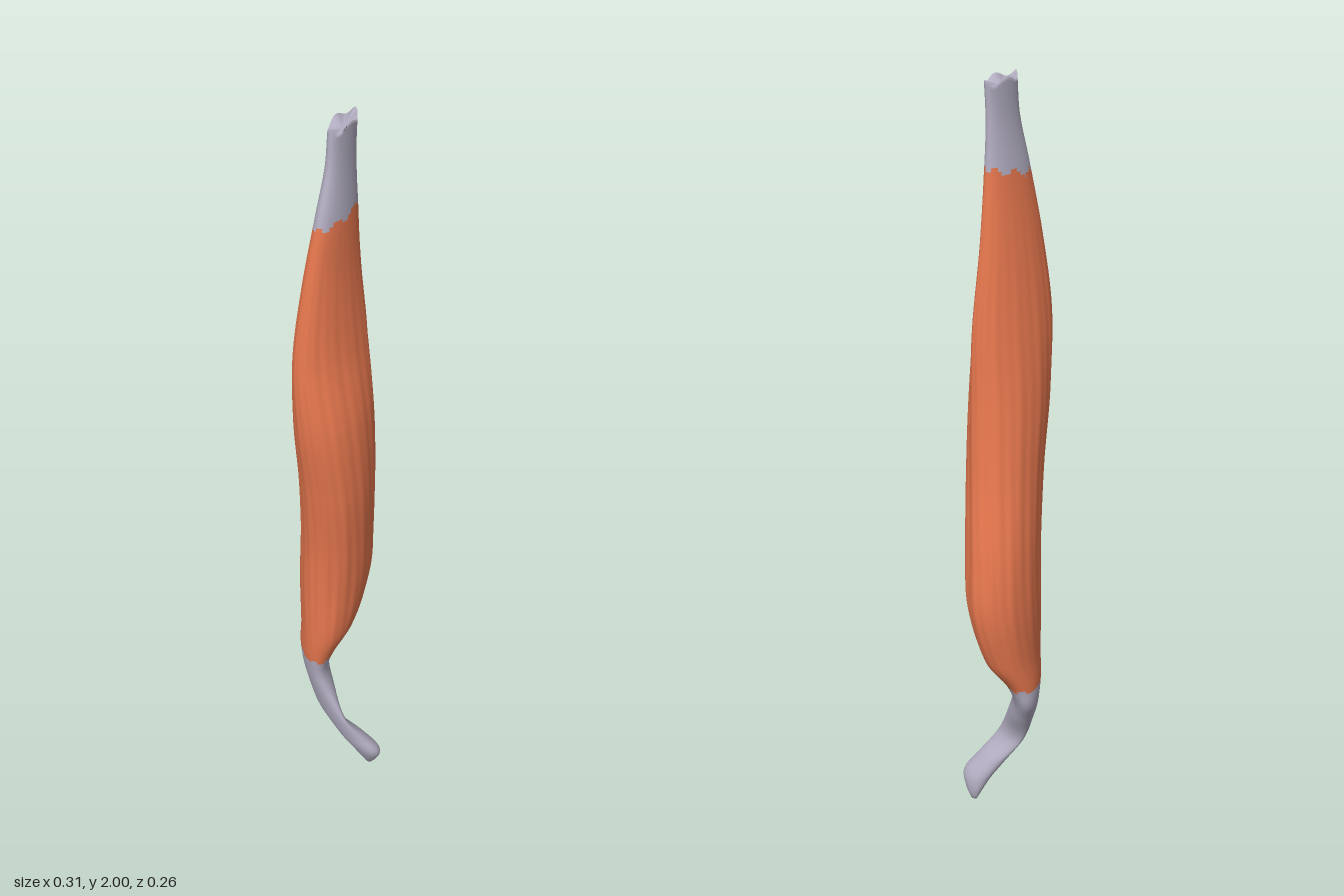
import * as THREE from 'three';

// Cross-sections from bottom to top: y, min x, max x, min z, max z, skew of the oval
const SECTIONS = [
  [0.00, 0.040, 0.053, 0.070, 0.092, 0.0],
  [0.03, 0.022, 0.061, 0.057, 0.114, 0.0],
  [0.07, 0.000, 0.059, 0.042, 0.131, 0.1],
  [0.12, -0.024, 0.030, 0.018, 0.108, 0.1],
  [0.20, -0.049, -0.020, -0.027, 0.070, -0.1],
  [0.30, -0.073, 0.004, -0.082, 0.030, -0.5],
  [0.36, -0.084, 0.025, -0.115, 0.018, -0.65],
  [0.42, -0.093, 0.050, -0.120, 0.032, -0.56],
  [0.50, -0.096, 0.105, -0.122, 0.058, -0.42],
  [0.65, -0.096, 0.147, -0.129, 0.075, -0.33],
  [0.80, -0.100, 0.141, -0.121, 0.090, -0.32],
  [1.00, -0.122, 0.116, -0.092, 0.108, -0.25],
  [1.20, -0.150, 0.100, -0.068, 0.107, -0.18],
  [1.40, -0.153, 0.092, -0.045, 0.076, -0.12],
  [1.60, -0.129, 0.066, -0.025, 0.064, -0.2],
  [1.78, -0.098, 0.047, -0.008, 0.064, -0.35],
  [1.90, -0.073, 0.043, 0.000, 0.060, -0.5],
  [2.00, -0.068, 0.050, 0.000, 0.060, -0.6],
];
const RINGS = 200, SEGS = 120;
const MUSCLE_LOW = 0.41, MUSCLE_HIGH = 1.77;

// Smooth interpolation of one section column at height y (cubic Hermite)
function sample(y, k) {
  const last = SECTIONS.length - 1;
  let i = 0;
  while (i < last - 1 && y > SECTIONS[i + 1][0]) i++;
  const slope = (n) => {
    const p = SECTIONS[Math.max(n - 1, 0)], q = SECTIONS[Math.min(n + 1, last)];
    return (q[k] - p[k]) / (q[0] - p[0]);
  };
  const a = SECTIONS[i], b = SECTIONS[i + 1], h = b[0] - a[0];
  const s = (y - a[0]) / h, s2 = s * s, s3 = s2 * s;
  return (2 * s3 - 3 * s2 + 1) * a[k] + (s3 - 2 * s2 + s) * h * slope(i)
    + (3 * s2 - 2 * s3) * b[k] + (s3 - s2) * h * slope(i + 1);
}

// One ring of surface points at height y, with fibre ridges and a long groove
function ring(y) {
  const [x0, x1, z0, z1, skew] = [1, 2, 3, 4, 5].map((k) => sample(y, k));
  const belly = THREE.MathUtils.smoothstep(y, 0.4, 0.65) * (1 - THREE.MathUtils.smoothstep(y, 1.4, 1.8));
  const rim = THREE.MathUtils.smoothstep(y, 1.95, 2);
  const points = [];
  for (let j = 0; j < SEGS; j++) {
    const t = j / SEGS * Math.PI * 2;
    const fromGroove = Math.atan2(Math.sin(t - 0.45), Math.cos(t - 0.45)) / 0.2;
    const ridges = 0.008 * Math.sin(11 * t + 3 * y) + 0.008 * Math.sin(23 * t - 4 * y + Math.sin(5 * y));
    const r = 1 + belly * (ridges - 0.14 * Math.exp(-fromGroove * fromGroove));
    points.push(
      (x0 + x1) / 2 + r * (x1 - x0) / 2 * Math.cos(t),
      y + rim * 0.007 * (Math.cos(4 * t) - 1), // ragged top rim
      (z0 + z1) / 2 + r * (z1 - z0) / 2 * Math.sin(t + Math.asin(skew)),
    );
  }
  return points;
}

export function createModel() {
  const group = new THREE.Group();
  group.name = 'armMuscle';

  const points = [];
  for (let i = 0; i <= RINGS; i++) points.push(...ring(2 * i / RINGS));
  const tip = points.length / 3, topCentre = tip + 1;
  points.push(0.046, 0, 0.081, -0.009, 1.975, 0.03);

  // Sort the faces into the belly and the two tendons along uneven borders
  const faces = { lowerTendon: [], muscleBelly: [], upperTendon: [] };
  for (let i = 0; i < RINGS; i++) {
    for (let j = 0; j < SEGS; j++) {
      const n = (j + 1) % SEGS, y = 2 * (i + 0.5) / RINGS, t = j / SEGS * Math.PI * 2;
      const jag = 0.016 * Math.cos(t) + 0.008 * Math.sin(7 * t);
      const part = y < MUSCLE_LOW + jag * 0.4 ? 'lowerTendon' : y > MUSCLE_HIGH + jag ? 'upperTendon' : 'muscleBelly';
      const a = i * SEGS + j, b = i * SEGS + n, c = a + SEGS, d = b + SEGS;
      faces[part].push(a, c, b, b, c, d);
    }
  }
  for (let j = 0; j < SEGS; j++) {
    const n = (j + 1) % SEGS, top = RINGS * SEGS;
    faces.lowerTendon.push(tip, j, n);
    faces.upperTendon.push(topCentre, top + n, top + j);
  }

  // Shared normals keep the surface smooth across the colour borders
  const whole = new THREE.BufferGeometry();
  whole.setAttribute('position', new THREE.Float32BufferAttribute(points, 3));
  whole.setIndex(Object.values(faces).flat());
  whole.computeVertexNormals();

  const colors = { lowerTendon: 0xb5b0c4, muscleBelly: 0xe8784f, upperTendon: 0xb5b0c4 };
  for (const [name, index] of Object.entries(faces)) {
    const geometry = new THREE.BufferGeometry();
    geometry.setAttribute('position', whole.getAttribute('position'));
    geometry.setAttribute('normal', whole.getAttribute('normal'));
    geometry.setIndex(index);
    const mesh = new THREE.Mesh(geometry, new THREE.MeshStandardMaterial({ color: colors[name] }));
    mesh.name = name;
    group.add(mesh);
  }
  return group;
}
